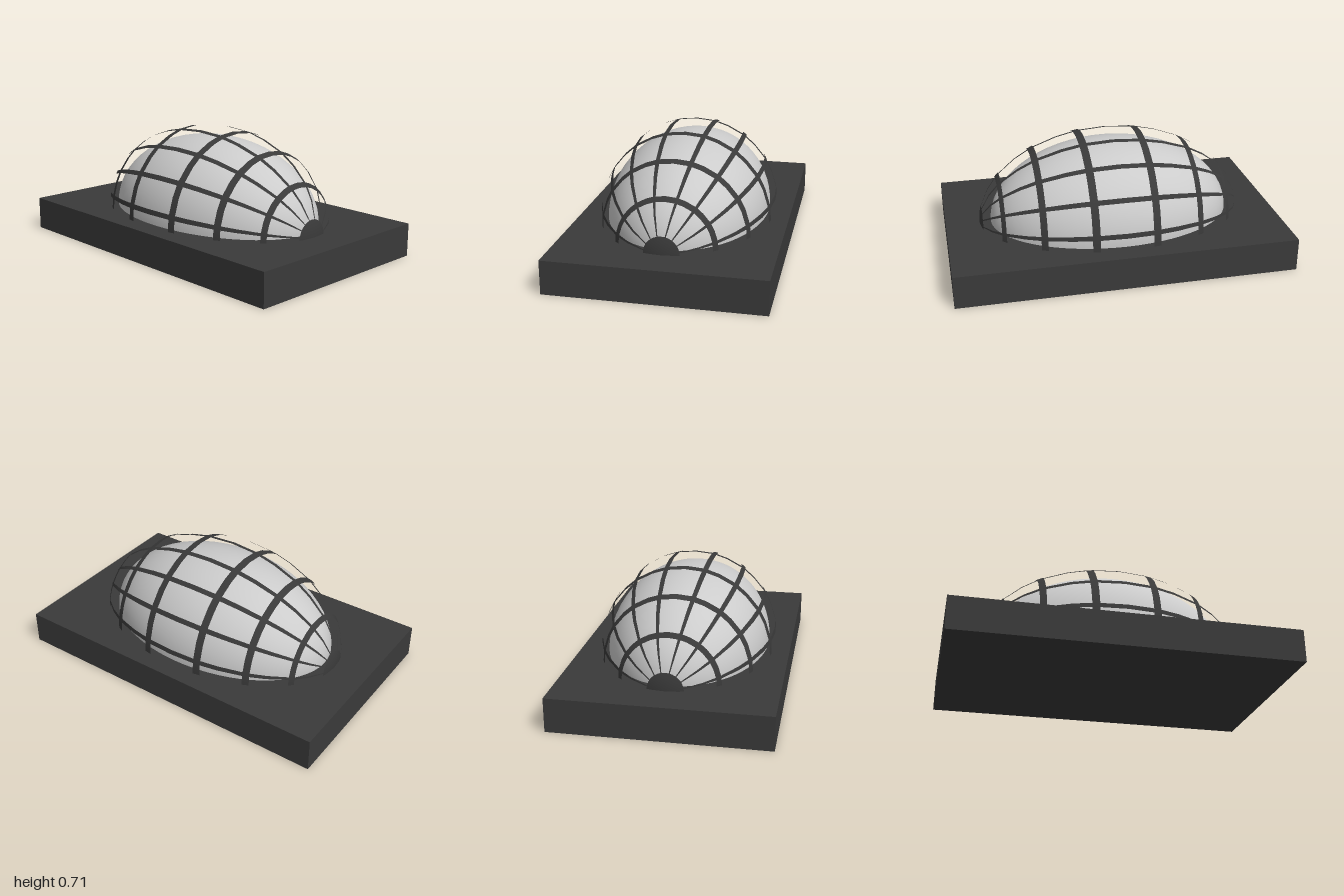
import * as THREE from 'three';

const BASE_HEIGHT = 0.197;

// Half ellipsoid lying along z, made of the grid cells that keep() accepts.
function halfEllipsoid(rx, ry, rz, angles, keep) {
  const n = angles.length;
  const positions = [], normals = [], index = [];
  for (const t of angles) {
    for (const p of angles) {
      const a = THREE.MathUtils.degToRad(t), b = THREE.MathUtils.degToRad(p);
      const d = new THREE.Vector3(Math.sin(a) * Math.cos(b), Math.sin(a) * Math.sin(b), Math.cos(a));
      positions.push(d.x * rx, d.y * ry, d.z * rz);
      normals.push(...new THREE.Vector3(d.x / rx, d.y / ry, d.z / rz).normalize().toArray());
    }
  }
  for (let i = 0; i < n - 1; i++) {
    for (let j = 0; j < n - 1; j++) {
      const t = (angles[i] + angles[i + 1]) / 2, p = (angles[j] + angles[j + 1]) / 2;
      if (!keep(t, p)) continue;
      const a = i * n + j, b = a + n;
      if (i < n - 2) index.push(a, b, b + 1);
      if (i > 0) index.push(a, b + 1, a + 1);
    }
  }
  const g = new THREE.BufferGeometry();
  g.setAttribute('position', new THREE.Float32BufferAttribute(positions, 3));
  g.setAttribute('normal', new THREE.Float32BufferAttribute(normals, 3));
  g.setIndex(index);
  return g;
}

export function createModel() {
  const group = new THREE.Group();
  const dark = new THREE.MeshStandardMaterial({ color: 0x3a3a3a });
  const grey = new THREE.MeshStandardMaterial({ color: 0xcccccc });

  const add = (name, geometry, material, y) => {
    const mesh = new THREE.Mesh(geometry, material);
    mesh.name = name;
    mesh.position.y = y;
    group.add(mesh);
  };

  // Slab
  add('base', new THREE.BoxGeometry(1.234, BASE_HEIGHT, 2), dark, BASE_HEIGHT / 2);

  // Smooth inner dome
  const even = Array.from({ length: 33 }, (_, i) => i * 180 / 32);
  add('dome', halfEllipsoid(0.482, 0.469, 0.73, even, () => true), grey, BASE_HEIGHT);

  // Cage grid: bar edges, mirrored about the middle
  const bars = [[8, 11.25], [30.5, 33.75], [53, 56.25], [75.5, 78.75]];
  const quarter = [0, ...bars.flatMap(([a, b]) => [a, b, b + 11.25])];
  const lines = [...quarter, ...quarter.slice(0, -1).reverse().map((a) => 180 - a)];
  const fold = (a) => Math.min(a, 180 - a);
  const inBar = (a) => bars.some(([lo, hi]) => fold(a) > lo && fold(a) < hi);

  // Lengthwise ribs, crosswise hoops and solid end caps
  const cage = halfEllipsoid(0.525, 0.523, 0.798, lines,
    (t, p) => fold(t) < 11.25 || inBar(t) || inBar(p));
  add('cage', cage, dark, BASE_HEIGHT);

  return group;
}
